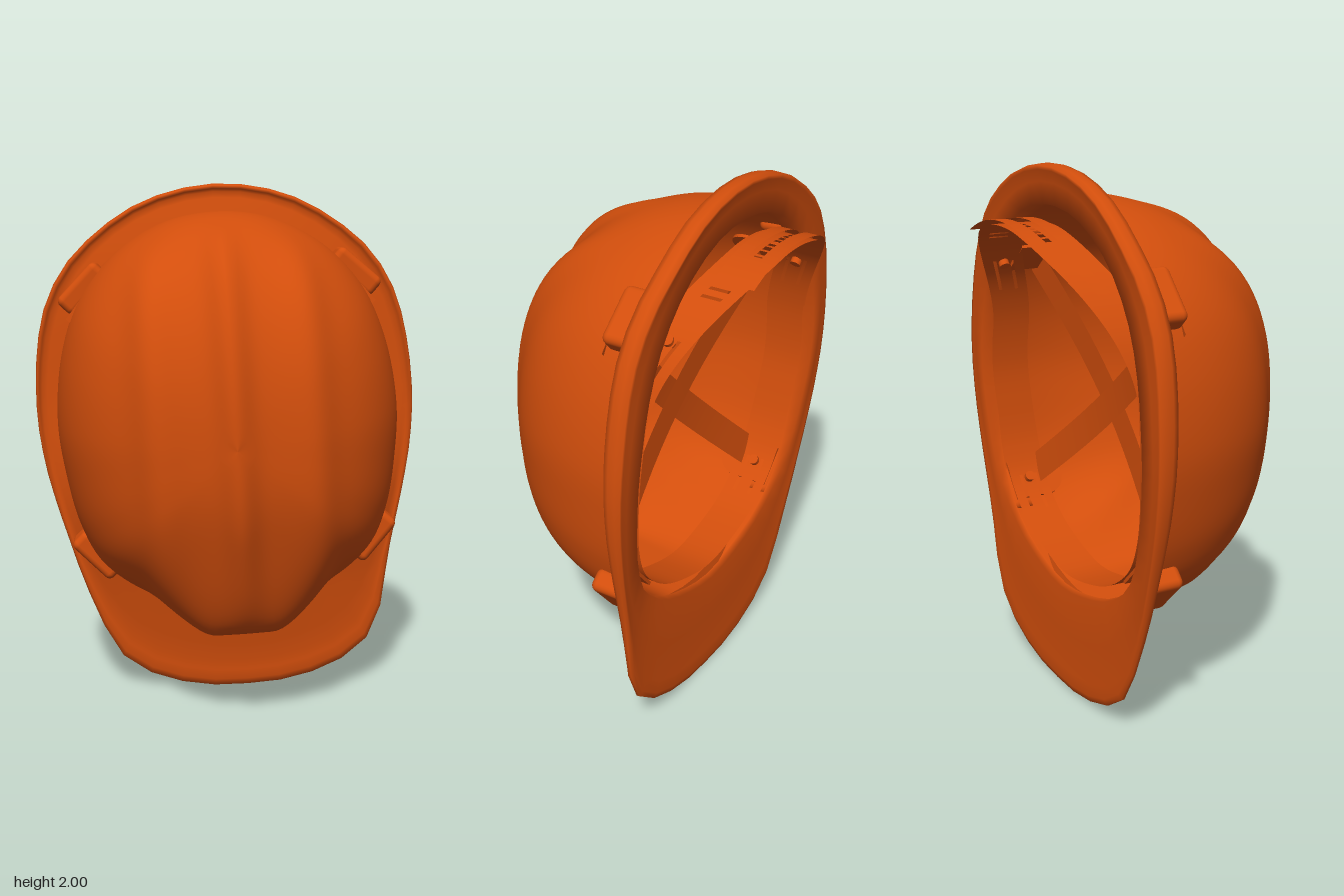
import * as THREE from 'three';
import { RoundedBoxGeometry } from 'three/addons/geometries/RoundedBoxGeometry.js';

const mat = new THREE.MeshStandardMaterial({ color: 0xd24e0c, side: THREE.DoubleSide });
const { smoothstep, lerp } = THREE.MathUtils;
const BASE = -0.27; // z of the shell's open edge

// Mirrored half outline (back to front) -> radius as a function of angle from +y
function outline(half) {
  const pts = half.map(([x, y]) => new THREE.Vector3(x, y, 0));
  const ext = [pts[1].clone().setX(-pts[1].x), ...pts, pts.at(-2).clone().setX(-pts.at(-2).x)];
  const samples = new THREE.CatmullRomCurve3(ext, false, 'centripetal').getPoints(400)
    .map((p) => [Math.atan2(p.x, p.y), Math.hypot(p.x, p.y)])
    .filter(([a], i) => !(a < 0 && i > 200));
  return (angle) => {
    const a = Math.abs(Math.atan2(Math.sin(angle), Math.cos(angle)));
    let i = 1;
    while (i < samples.length - 1 && samples[i][0] < a) i++;
    const [a0, r0] = samples[i - 1], [a1, r1] = samples[i];
    return lerp(r0, r1, THREE.MathUtils.clamp((a - a0) / (a1 - a0 || 1), 0, 1));
  };
}

const rimR = outline([[0, 0.905], [0.2, 0.878], [0.37, 0.808], [0.575, 0.645], [0.675, 0.48], [0.72, 0.3],
  [0.738, 0.05], [0.72, -0.15], [0.69, -0.3], [0.64, -0.5], [0.578, -0.74], [0.53, -0.89],
  [0.465, -0.97], [0.34, -1.045], [0.15, -1.093], [0, -1.1]]);
const domeR = outline([[0, 0.8], [0.2, 0.77], [0.4, 0.66], [0.54, 0.5], [0.62, 0.3], [0.655, 0.05],
  [0.64, -0.15], [0.6, -0.35], [0.53, -0.5], [0.39, -0.62], [0.22, -0.69], [0, -0.73]]);

// Grid surface from point(u, v); wrap closes it in u, skip(u, v) leaves holes
function surface(name, nu, nv, point, { wrap = true, skip = () => false } = {}) {
  const pos = [], index = [], cols = wrap ? nu : nu + 1;
  for (let j = 0; j <= nv; j++)
    for (let i = 0; i < cols; i++) pos.push(...point(i / nu, j / nv));
  for (let j = 0; j < nv; j++)
    for (let i = 0; i < nu; i++) {
      if (skip((i + 0.5) / nu, (j + 0.5) / nv)) continue;
      const a = j * cols + i, b = j * cols + ((i + 1) % cols);
      index.push(a, a + cols, b, b, a + cols, b + cols);
    }
  const g = new THREE.BufferGeometry();
  g.setAttribute('position', new THREE.Float32BufferAttribute(pos, 3));
  g.setIndex(index);
  g.computeVertexNormals();
  const mesh = new THREE.Mesh(g, mat);
  mesh.name = name;
  return mesh;
}

// Super-elliptic dome with three lengthwise ridges and a flat front pad
function domePoint(u, v, scale) {
  const a = u * Math.PI * 2, phi = v * Math.PI / 2, e = 2 / 2.4;
  const r = domeR(a) * Math.max(0, Math.cos(phi)) ** e, h = Math.sin(phi) ** e;
  let x = r * Math.sin(a), y = r * Math.cos(a), z = BASE + 0.73 * h;
  const ridge = (0.045 * Math.exp(-((x / 0.06) ** 2)) + 0.03 * Math.exp(-(((Math.abs(x) - 0.27) / 0.075) ** 2)))
    * smoothstep(h, 0.35, 0.85);
  const k = 1 + ridge / Math.hypot(x, y, z - BASE);
  x *= k; y *= k; z = BASE + (z - BASE) * k;
  const pad = (1 - smoothstep(Math.abs(x), 0.1, 0.36)) * (1 - smoothstep(y, -0.6, -0.15))
    * (1 - smoothstep(z, 0.19, 0.46));
  // Open edge rises at the front so it stays within the visor
  z += 0.035 * (1 - v) ** 8 * (1 - smoothstep(y, -0.6, -0.2));
  y = lerp(y, -0.79 + 0.05 * (z - BASE) / 0.48, pad);
  return [x * scale, y * scale, BASE + (z - BASE) * scale];
}

// Brim section: [0 = shell edge .. 1 = rim, z]
const brimSection = [[0, -0.255], [0.5, -0.268], [0.72, -0.275], [0.82, -0.262], [0.93, -0.258], [1, -0.28],
  [0.995, -0.308], [0.93, -0.328], [0.8, -0.325], [0.4, -0.315], [-0.15, -0.31], [-0.18, -0.25]];
function brimPoint(u, v) {
  const a = u * Math.PI * 2, [t, z0] = brimSection[Math.round(v * (brimSection.length - 1))];
  const inner = domeR(a), outer = rimR(a);
  const r = t < 0 ? inner * (1 + t * 0.3) : lerp(inner, outer, t);
  const x = r * Math.sin(a), y = r * Math.cos(a);
  const front = 1 - smoothstep(outer * Math.cos(a), -0.8, 0.25);
  const z = lerp(z0, -0.252 + (z0 + 0.285) * 0.4, front);
  const slope = t >= 0 ? 0.055 * front * (1 - t) ** 1.3 * (z0 > -0.3 ? 1 : 0.2) : 0;
  const droop = 0.025 * Math.max(0, t) * smoothstep(Math.abs(x), 0.45, 0.74) * (1 - front);
  // The visor sits slightly to the left
  return [x + 0.02 * smoothstep(-y, 0.55, 0.9), y, z + slope + droop];
}

// Headband edges: the band dips behind the rim at the nape and lifts at the front
const nape = (a) => 1 - smoothstep(Math.abs(a), 0.15, 1.25);
const lift = (a) => 0.04 * smoothstep(Math.abs(a), 1.3, 2.4);
const bandRear = (a) => -0.285 - 0.22 * nape(a) + lift(a);
const bandFront = (a) => -0.13 - 0.19 * nape(a) + lift(a);
const bandPoint = (a, z, f) => [domeR(a) * f * Math.sin(a), domeR(a) * f * Math.cos(a), z];

const clipSpots = [[0.53, 0.555], [0.55, -0.5]];

// Round-ended plate that holds the harness
const tabShape = new THREE.Shape();
tabShape.moveTo(-0.08, 0).lineTo(0.08, 0).lineTo(0.08, 0.14).absarc(0, 0.14, 0.08, 0, Math.PI).lineTo(-0.08, 0);
const tabGeometry = new THREE.ExtrudeGeometry(tabShape, { depth: 0.012, bevelEnabled: false, curveSegments: 10 });
tabGeometry.rotateX(Math.PI / 2);

export function createModel() {
  const model = new THREE.Group(), hat = new THREE.Group();
  hat.name = 'hardHat';
  hat.position.y = 1.1;
  hat.rotation.z = 0.06;
  model.add(hat);

  // Shell, lining and brim
  hat.add(surface('shell', 160, 52, (u, v) => domePoint(u, v, 1)));
  hat.add(surface('shellInside', 160, 52, (u, v) => domePoint(u, v, 0.97)));
  hat.add(surface('brim', 52, brimSection.length - 1, brimPoint));

  // Headband with paired slots by the clips, vents and two slits at the nape
  const clipAngles = clipSpots.map(([x, y]) => Math.atan2(x, y));
  hat.add(surface('headband', 360, 12, (u, v) => {
    const a = (u - 0.5) * Math.PI * 2;
    return bandPoint(a, lerp(bandRear(a), bandFront(a), v), 0.88);
  }, {
    skip: (u, v) => {
      const a = (u - 0.5) * Math.PI * 2, row = Math.floor(v * 12);
      const vent = a > -0.25 && a < 0.2 && Math.floor(u * 360) % 3 !== 0 && (row === 4 || row === 5);
      const slit = (Math.abs(a - 0.445) < 0.009 || Math.abs(a - 0.497) < 0.009) && row > 2 && row < 8;
      const slot = clipAngles.some((c) => Math.abs(Math.abs(a) - c - 0.1) < 0.12) && (row === 3 || row === 8);
      return vent || slit || slot;
    },
  }));

  // Overlapping nape strap with a long slot and a square end
  const a0 = -1.15, a1 = 0.42;
  hat.add(surface('napeStrap', 100, 12, (u, v) => {
    const a = lerp(a0, a1, u), rear = bandRear(a > 0 ? a * 0.5 : a);
    return bandPoint(a, lerp(rear, rear + 0.15, v), 0.9);
  }, {
    wrap: false,
    skip: (u, v) => u > 0.32 && u < 0.87 && Math.abs(v - 0.5) < 0.16,
  }));

  for (const s of [1, -1]) {
    // Crossed straps inside the shell
    const from = new THREE.Vector2(s * 0.55, 0.48), to = new THREE.Vector2(-s * 0.55, -0.45);
    const side = to.clone().sub(from).normalize().rotateAround(new THREE.Vector2(), Math.PI / 2);
    hat.add(surface('crossStrap', 16, 1, (u, v) => {
      const p = from.clone().lerp(to, u).addScaledVector(side, (v - 0.5) * 0.12);
      return [p.x, p.y, -0.13 + 0.07 * Math.sin(Math.PI * u) + s * 0.003];
    }, { wrap: false }));

    for (const [cx, cy] of clipSpots) {
      // Harness sockets bulging from the shell, with a tab and stud inside
      const a = Math.atan2(s * cx, cy);
      const bulge = new THREE.Mesh(new RoundedBoxGeometry(0.21, 0.085, 0.13, 3, 0.025), mat);
      bulge.name = 'harnessSocket';
      bulge.position.set(s * cx * 0.98, cy * 0.98, cy > 0 ? -0.2 : -0.18);
      bulge.rotation.z = -a;
      hat.add(bulge);

      const stud = new THREE.Mesh(new THREE.CylinderGeometry(0.02, 0.02, 0.03, 16), mat);
      stud.name = 'bandStud';
      stud.position.set(...bandPoint(a, (bandRear(a) + bandFront(a)) / 2, 0.875));
      stud.rotation.z = -a;
      hat.add(stud);

      const tab = new THREE.Mesh(tabGeometry, mat);
      tab.name = 'harnessTab';
      tab.position.set(...bandPoint(a, -0.24, 0.905));
      tab.rotation.z = -a;
      hat.add(tab);
    }
  }
  return model;
}
